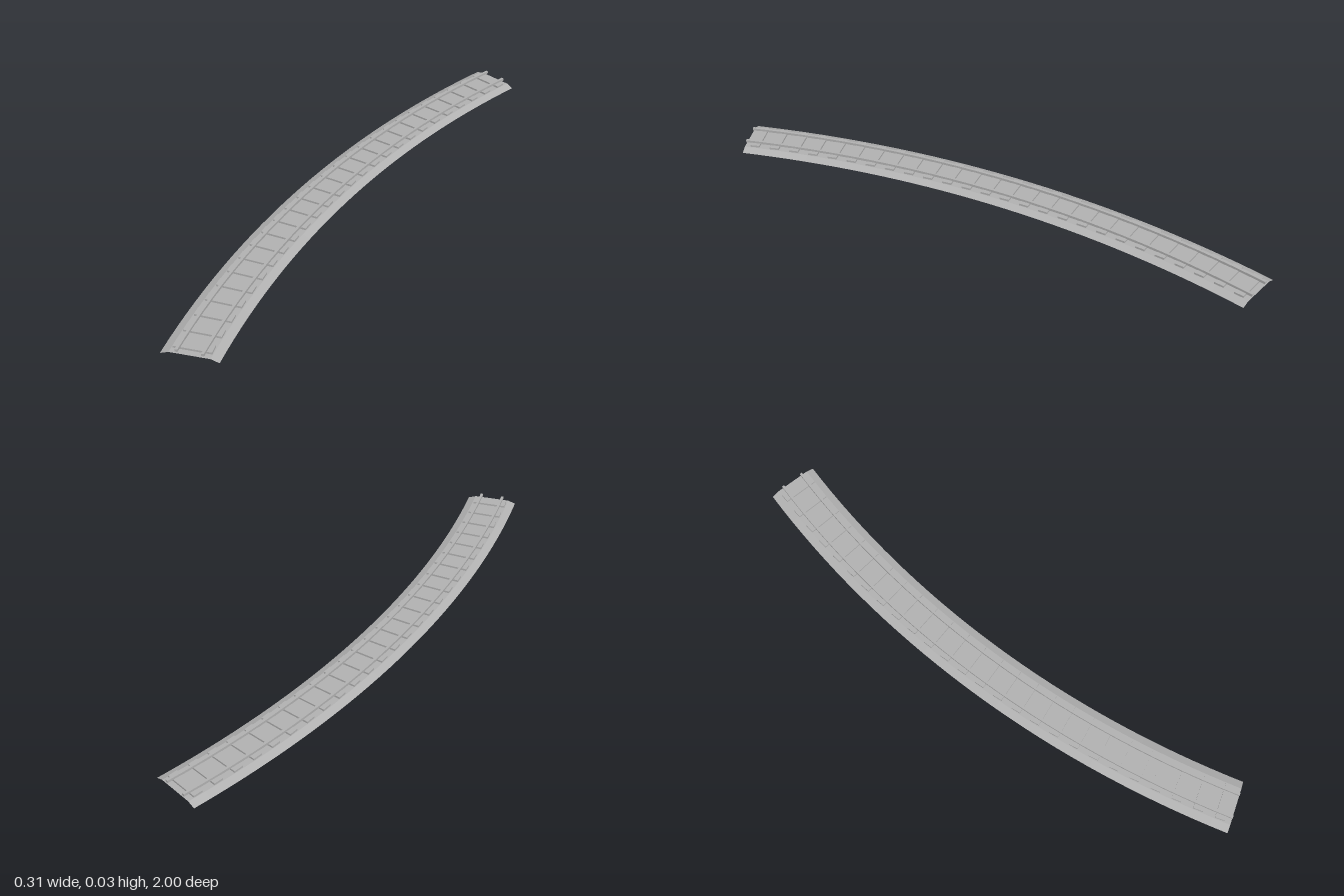
import * as THREE from 'three';

const R = 3.66;          // centre-line radius
const HALF = 0.27;       // half of the swept angle
const CX = 3.595;        // x of the bend's centre
const BED = 0.0915;      // half width of the bed
const SKEW = 0.05;       // slight skew of the cross-sections
const SEGMENTS = 32;

// Point on the bend: angle a, offset u across the track (+u to the inside), height y
function onBend(a, u, y) {
  const r = R - u;
  return [CX - r * Math.cos(a), y, r * Math.sin(a) - SKEW * (u + BED)];
}

// Sweep a counter-clockwise [u, y] profile along the bend; closed profiles get end caps
function sweep(profile, closed) {
  const pos = [];
  const n = profile.length;
  const at = (i, j) => onBend(-HALF + (2 * HALF * i) / SEGMENTS, ...profile[j % n]);
  const tri = (a, b, c) => pos.push(...a, ...b, ...c);
  for (let i = 0; i < SEGMENTS; i++) {
    for (let j = 0; j < (closed ? n : n - 1); j++) {
      tri(at(i, j), at(i, j + 1), at(i + 1, j + 1));
      tri(at(i, j), at(i + 1, j + 1), at(i + 1, j));
    }
  }
  if (closed) {
    for (let j = 1; j < n - 1; j++) {
      tri(at(SEGMENTS, 0), at(SEGMENTS, j), at(SEGMENTS, j + 1));
      tri(at(0, 0), at(0, j + 1), at(0, j));
    }
  }
  const geo = new THREE.BufferGeometry();
  geo.setAttribute('position', new THREE.Float32BufferAttribute(pos, 3));
  geo.computeVertexNormals();
  return geo;
}

export function createModel() {
  const group = new THREE.Group();
  group.name = 'curvedTrack';
  const grey = new THREE.MeshStandardMaterial({ color: 0xb2b2b2, side: THREE.DoubleSide });
  grey.name = 'grey';

  const add = (name, geo) => {
    const mesh = new THREE.Mesh(geo, grey);
    mesh.name = name;
    group.add(mesh);
    return mesh;
  };

  // Gravel bed: a thin shell with sloped sides, open below and at the ends
  add('bed', sweep([[BED, 0], [0.0645, 0.01], [-0.0645, 0.01], [-BED, 0]], false));

  // Rails
  for (const [name, u] of [['outerRail', -0.0405], ['innerRail', 0.0405]]) {
    const w = 0.0045;
    add(name, sweep([[u - w, 0.016], [u + w, 0.016], [u + w, 0.025], [u - w, 0.025]], true));
  }

  // Sleepers, evenly spaced along the bend
  const count = 26;
  const sleeper = new THREE.BoxGeometry(0.123, 0.008, 0.034);
  for (let i = 0; i < count; i++) {
    const a = -HALF + (2 * HALF * (i + 0.5)) / count;
    const mesh = add('sleeper', sleeper);
    mesh.position.set(...onBend(a, 0, 0.013));
    mesh.rotation.y = a + SKEW;
  }
  return group;
}
